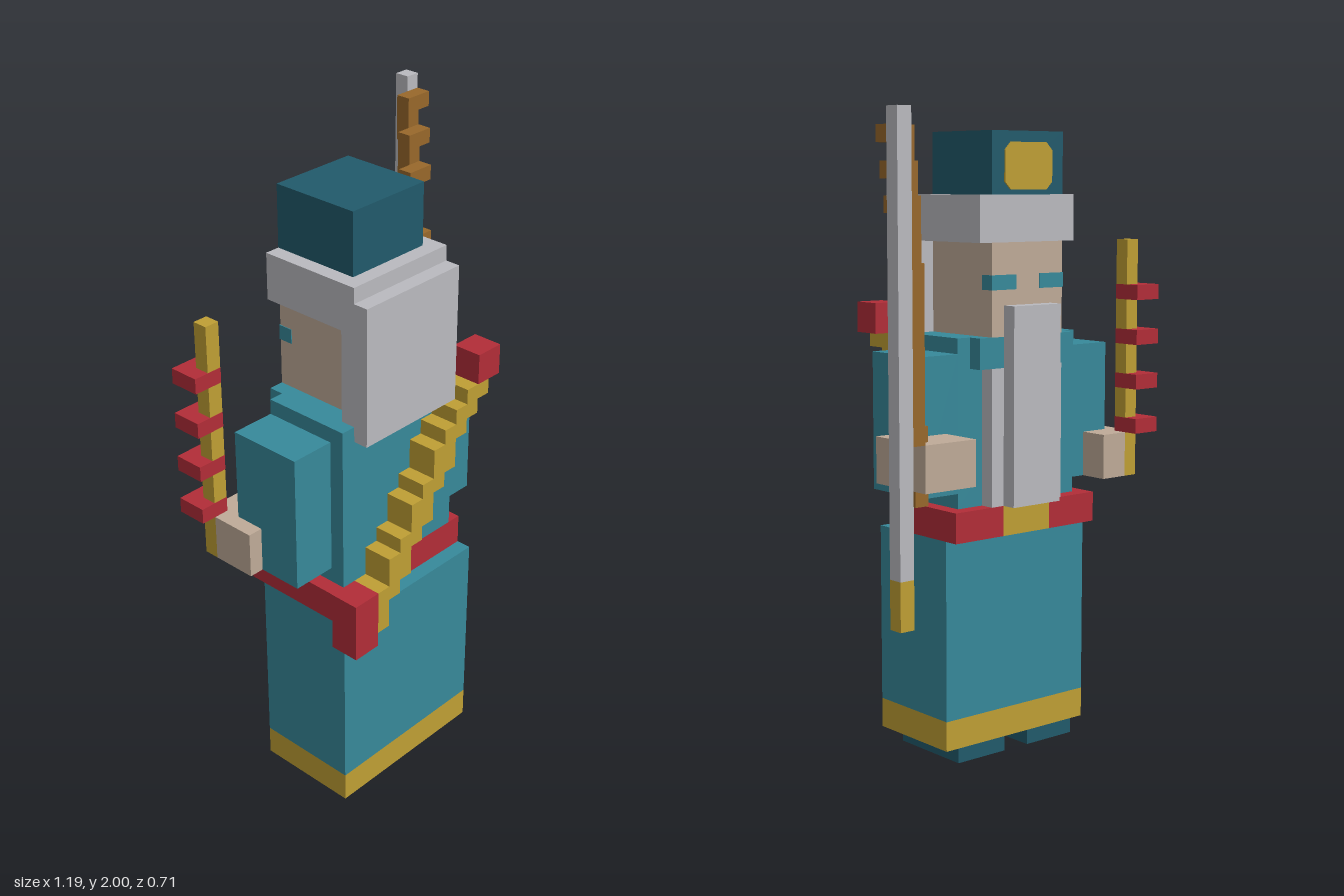
import * as THREE from 'three';

const U = 1 / 21; // one block

const paint = (name, color) => {
  const m = new THREE.MeshStandardMaterial({ color });
  m.name = name;
  return m;
};

export function createModel() {
  const teal = paint('teal cloth', 0x37899a);
  const dark = paint('dark teal', 0x215a6b);
  const red = paint('red', 0xb22d38);
  const gold = paint('gold', 0xbf9f34);
  const silver = paint('silver', 0xbababf);
  const skin = paint('skin', 0xbfab98);
  const brown = paint('brown wood', 0x98682b);

  const model = new THREE.Group();
  model.name = 'bowman';

  // Block box from ranges on a 25 x 42 x 15 grid
  const box = (name, mat, x0, x1, y0, y1, z0, z1) => {
    const geo = new THREE.BoxGeometry((x1 - x0) * U, (y1 - y0) * U, (z1 - z0) * U);
    geo.translate(((x0 + x1) / 2 - 12.5) * U, ((y0 + y1) / 2) * U, ((z0 + z1) / 2 - 7.5) * U);
    const mesh = new THREE.Mesh(geo, mat);
    mesh.name = name;
    model.add(mesh);
    return mesh;
  };
  // Same box on both sides of the body centre (x = 10)
  const pair = (name, mat, x0, x1, ...rest) => {
    box(name + 'Left', mat, x0, x1, ...rest);
    box(name + 'Right', mat, 20 - x1, 20 - x0, ...rest);
  };

  // Feet and robe
  pair('foot', dark, 11, 15, 0, 1, 7, 13);
  box('robeHem', gold, 4, 16, 1, 3, 7, 14);
  box('robeSkirt', teal, 4, 16, 3, 15, 7, 14);
  box('belt', red, 4, 16, 15, 17, 7, 13);
  pair('beltFace', red, 12, 16, 15, 17, 6, 7);
  box('buckle', gold, 8, 12, 15, 17, 6, 7);
  box('torso', teal, 5, 15, 17, 28, 7, 13);
  box('chest', teal, 6, 14, 26, 28, 6, 7);

  // Arms and hands
  pair('arm', teal, 15, 18, 18, 27, 7, 12);
  box('handLeft', skin, 16, 20, 19, 22, 4, 9);
  box('handRight', skin, 2, 4, 18, 21, 5, 7);
  box('handRightOuter', skin, 1, 2, 18, 21, 6, 9);

  // Head, hair and beard
  box('head', skin, 7, 13, 28, 34, 6, 12);
  box('hairInner', silver, 6, 14, 28, 34, 12, 13);
  box('hairOuter', silver, 6, 14, 27, 36, 13, 14);
  box('hatBand', silver, 6, 14, 34, 37, 6, 13);
  box('beard', silver, 8, 12, 17, 30, 5, 6);
  pair('beardSide', silver, 12, 13, 17, 26, 6, 7);
  pair('eye', teal, 11, 13.05, 31, 31.95, 5.95, 6.95);

  // Hat with a chamfered badge
  box('hat', dark, 7, 13, 37, 41, 6, 12);
  const c = 0.5;
  const outline = [[-2, c], [-2 + c, 0], [2 - c, 0], [2, c], [2, 3 - c], [2 - c, 3], [-2 + c, 3], [-2, 3 - c]];
  const badgeShape = new THREE.Shape(outline.map(([x, y]) => new THREE.Vector2(x * U, y * U)));
  const badge = new THREE.Mesh(
    new THREE.ExtrudeGeometry(badgeShape, { depth: 0.1 * U, bevelEnabled: false }), gold);
  badge.name = 'hatBadge';
  badge.position.set(-2.5 * U, 37.3 * U, -1.6 * U);
  model.add(badge);

  // Stepped scabbard across the back
  for (let r = 0; r < 14; r++) {
    const last = 6 + Math.floor(r / 1.44);
    box('scabbard', gold, Math.max(6, last - 1), last + 1, 14 + r, 15 + r, 13, 15);
  }
  box('scabbardTip', red, 3.98, 6, 13, 17, 13, 15);
  box('scabbardHilt', red, 15, 17, 28, 30, 13, 15);

  // Ringed rod in the right hand
  box('rod', gold, 1, 2, 18, 34, 5, 6);
  for (let y = 21; y <= 30; y += 3) box('rodRing', red, -0.01, 2.01, y, y + 1, 4, 6.01);

  // Stepped wooden arm leading from the left hand to the pole
  box('woodGrip', brown, 19, 20, 18, 19, 5, 6);
  [[22, 23], [22, 33], [32, 37], [36, 39], [38, 41]].forEach(([y0, y1], i) => {
    box('woodStep', brown, 19 + i, 20 + i, y0, y1, 5 - i, 6 - i);
    box('woodStepJoint', brown, 20 + i, 21 + i, y1 - 1, y1, 5 - i, 6 - i);
  });
  box('pole', silver, 24, 25, 15, 42, 0, 1);
  box('poleTip', gold, 24, 25, 12, 15, 0, 1);

  return model;
}
